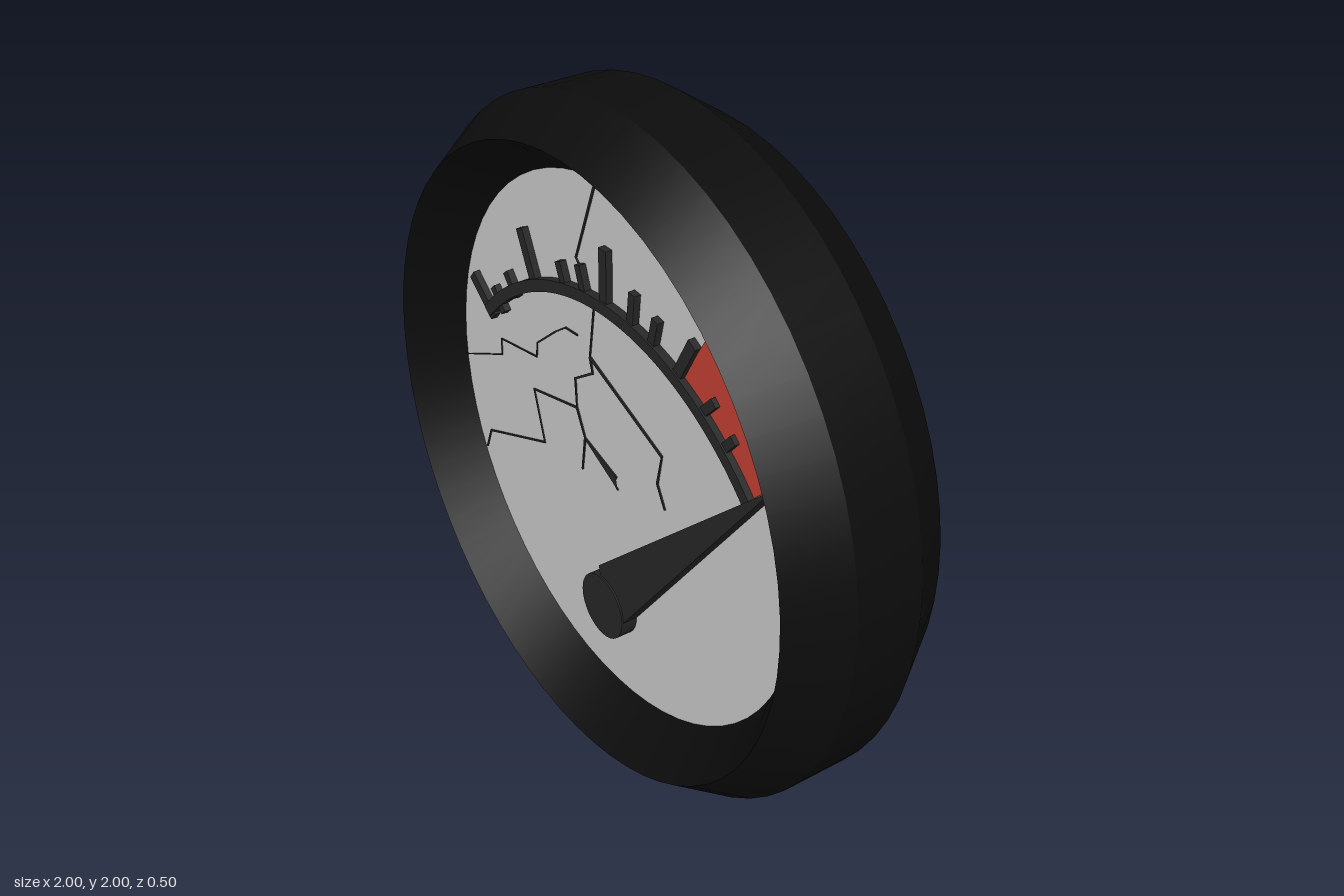
import * as THREE from 'three';
import { toCreasedNormals } from 'three/addons/utils/BufferGeometryUtils.js';

const black = new THREE.MeshStandardMaterial({ color: 0x0c0c0c });
const dark = new THREE.MeshStandardMaterial({ color: 0x272727 });
const red = new THREE.MeshStandardMaterial({ color: 0xc43f33 });
const grey = new THREE.MeshStandardMaterial({ color: 0xcccccc });

const FACE = 0.1;      // z of the dial surface
const ARC_Y = 0.63;    // centre height of the scale arc

function add(parent, name, geometry, material) {
  const mesh = new THREE.Mesh(geometry, material);
  mesh.name = name;
  parent.add(mesh);
  return mesh;
}

// Flat shape raised from z0 to z1
function slab(shape, z0, z1) {
  const g = new THREE.ExtrudeGeometry(shape, { depth: z1 - z0, bevelEnabled: false, curveSegments: 32 });
  return toCreasedNormals(g.translate(0, 0, z0), 0.5);
}

const polygon = (pts) => new THREE.Shape(pts.map(([x, y]) => new THREE.Vector2(x, y)));

// Mitred ribbon along a polyline, tapering towards its end
function ribbon(pts, w0, w1) {
  const p = pts.map(([x, y]) => new THREE.Vector2(x, y));
  const left = [], right = [];
  p.forEach((v, i) => {
    const a = p[Math.max(i - 1, 0)], b = p[Math.min(i + 1, p.length - 1)];
    const d = b.clone().sub(a).normalize();
    const half = THREE.MathUtils.lerp(w0, w1, i / (p.length - 1)) / 2;
    const n = new THREE.Vector2(-d.y, d.x).multiplyScalar(half);
    left.push(v.clone().add(n));
    right.unshift(v.clone().sub(n));
  });
  return new THREE.Shape([...left, ...right]);
}

export function createModel() {
  const model = new THREE.Group();
  model.name = 'gauge';

  // Bevelled six-sided rim
  const profile = [[0.79, -0.1], [0.9, -0.25], [1, -0.1], [1, 0.1], [0.9, 0.25], [0.79, 0.1], [0.79, -0.1]]
    .map(([r, y]) => new THREE.Vector2(r, y));
  const rim = new THREE.LatheGeometry(profile, 64).rotateX(Math.PI / 2).translate(0, 1, 0);
  add(model, 'rim', toCreasedNormals(rim, 0.5), black);

  // Dial plate
  const plate = new THREE.CylinderGeometry(0.795, 0.795, 2 * FACE, 64).rotateX(Math.PI / 2).translate(0, 1, 0);
  add(model, 'dial', plate, grey);

  // Red danger zone between the scale arc and the rim
  const zone = new THREE.Shape();
  zone.absarc(0, 1, 0.795, Math.atan2(0.32, 0.727), Math.atan2(0.65, 0.465), false);
  zone.absarc(0, ARC_Y, 0.81, Math.atan2(0.77, 0.31), Math.atan2(0.555, 0.59), true);
  add(model, 'dangerZone', slab(zone, 0.05, FACE + 0.006), red);

  // Scale arc
  const a0 = THREE.MathUtils.degToRad(42.8), a1 = THREE.MathUtils.degToRad(138.7);
  const band = new THREE.Shape();
  band.absarc(0, ARC_Y, 0.835, a0, a1, false);
  band.absarc(0, ARC_Y, 0.8, a1, a0, true);
  add(model, 'scaleArc', slab(band, FACE - 0.02, FACE + 0.025), dark);

  // Scale ticks: outer end, then base
  const ticks = new THREE.Group();
  ticks.name = 'ticks';
  model.add(ticks);
  const major = [[-0.70, 1.25, -0.59, 1.16], [-0.425, 1.51, -0.36, 1.37], [-0.02, 1.615, -0.02, 1.45], [0.365, 1.52, 0.30, 1.40]];
  const minor = [[-0.585, 1.26, -0.53, 1.20], [-0.51, 1.34, -0.46, 1.28], [-0.235, 1.49, -0.205, 1.42],
    [-0.14, 1.52, -0.115, 1.45], [0.11, 1.545, 0.10, 1.45], [0.21, 1.515, 0.19, 1.43],
    [0.455, 1.40, 0.40, 1.34], [0.535, 1.335, 0.48, 1.27]];
  for (const [list, width] of [[major, 0.034], [minor, 0.027]]) {
    for (const [x0, y0, x1, y1] of list) {
      const tick = add(ticks, 'tick', new THREE.BoxGeometry(width, Math.hypot(x1 - x0, y1 - y0), 0.04), dark);
      tick.position.set((x0 + x1) / 2, (y0 + y1) / 2, FACE);
      tick.rotation.z = Math.atan2(x1 - x0, y0 - y1);
    }
  }

  // Needle and its hub
  const needle = new THREE.Group();
  needle.name = 'needle';
  model.add(needle);
  add(needle, 'pointer', slab(polygon([[0, 0.5], [0.1, 0.5], [0.727, 1.31], [-0.02, 0.63]]), FACE, 0.145), dark);
  const hub = new THREE.CylinderGeometry(0.1, 0.1, 0.06, 32).rotateX(Math.PI / 2).translate(0, 0.5, 0.12);
  add(needle, 'hub', hub, dark);

  // Cracks in the dial: width at the start, then the path
  const cracks = new THREE.Group();
  cracks.name = 'cracks';
  model.add(cracks);
  const paths = [
    [0.007, [[-0.07, 1.785], [-0.17, 1.525], [-0.085, 1.44], [-0.112, 1.25]]],
    [0.010, [[-0.112, 1.25], [0.22, 1.11], [0.20, 1.015], [0.235, 0.95]]],
    [0.008, [[-0.112, 1.25], [-0.10, 1.205], [-0.187, 1.147], [-0.182, 1.055], [-0.406, 1.003],
      [-0.358, 0.847], [-0.668, 0.725], [-0.695, 0.655]]],
    [0.008, [[-0.182, 1.055], [-0.144, 0.976], [-0.16, 0.864]]],
    [0.006, [[-0.144, 0.976], [0.01, 0.928], [-0.005, 0.905], [0.016, 0.89]]],
    [0.005, [[-0.171, 1.29], [-0.23, 1.286], [-0.283, 1.249], [-0.38, 1.168], [-0.385, 1.12],
      [-0.578, 1.088], [-0.578, 1.035], [-0.786, 0.938]]],
  ];
  for (const [width, path] of paths) {
    add(cracks, 'crack', slab(ribbon(path, width, width * 0.6), FACE - 0.01, FACE + 0.004), dark)
      .material.side = THREE.DoubleSide;
  }
  return model;
}
